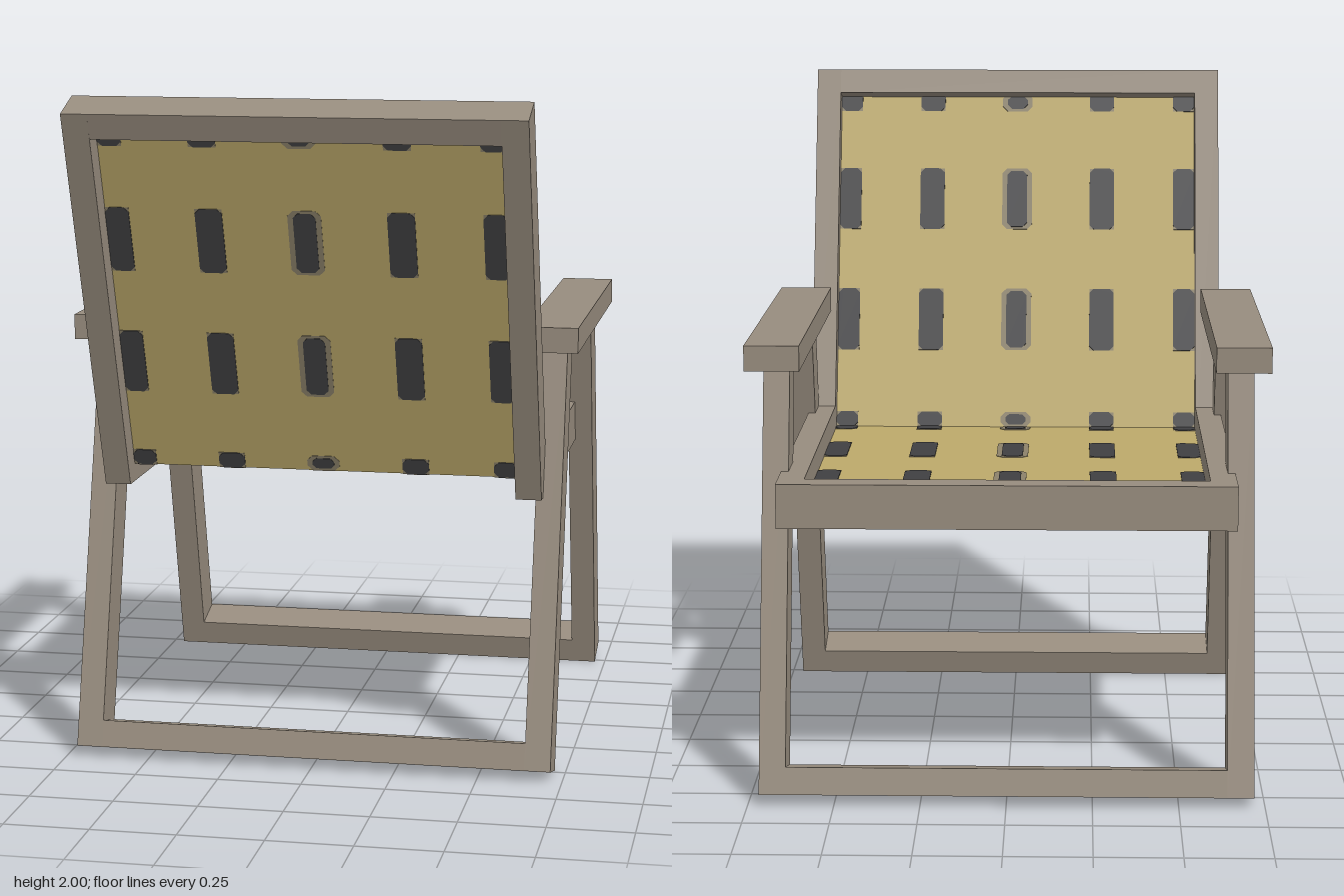
import * as THREE from 'three';

const frameMat = new THREE.MeshStandardMaterial({ name: 'weathered wood', color: 0x978c7e });
const fabricMat = new THREE.MeshStandardMaterial({ name: 'straw fabric', color: 0xbca96a });
const dashMat = new THREE.MeshStandardMaterial({ name: 'charcoal dash', color: 0x404042 });
const haloMat = new THREE.MeshStandardMaterial({ name: 'dash border', color: 0x8c826a });

// Bar with a side profile of [z, y] points, running from x0 to x1
function bar(name, profile, x0, x1) {
  const shape = new THREE.Shape(profile.map(([z, y]) => new THREE.Vector2(-z, y)));
  const geo = new THREE.ExtrudeGeometry(shape, { depth: x1 - x0, bevelEnabled: false });
  geo.rotateY(Math.PI / 2).translate(x0, 0, 0);
  const mesh = new THREE.Mesh(geo, frameMat);
  mesh.name = name;
  return mesh;
}

function pair(parent, name, profile, x0, x1) {
  parent.add(bar(name + 'Left', profile, x0, x1), bar(name + 'Right', profile, -x1, -x0));
}

const rect = (z0, z1, y0, y1) => [[z0, y0], [z1, y0], [z1, y1], [z0, y1]];

// Thin plate with cut corners, visible on both sides of the fabric
function plate(name, x0, x1, y0, y1, cut, depth, material) {
  const c = Math.min(cut, (y1 - y0) / 3);
  const shape = new THREE.Shape([
    [x0 + c, y0], [x1 - c, y0], [x1, y0 + c], [x1, y1 - c],
    [x1 - c, y1], [x0 + c, y1], [x0, y1 - c], [x0, y0 + c],
  ].map(([x, y]) => new THREE.Vector2(x, y)));
  const geo = new THREE.ExtrudeGeometry(shape, { depth, bevelEnabled: false });
  geo.translate(0, 0, -depth / 2);
  const mesh = new THREE.Mesh(geo, material);
  mesh.name = name;
  return mesh;
}

// Fabric panel rising along local y from the crease between seat and back
function fabricPanel(name, length) {
  const panel = new THREE.Group();
  panel.name = name;
  const cloth = new THREE.Mesh(new THREE.BoxGeometry(1.18, length, 0.002), fabricMat);
  cloth.position.y = length / 2;
  cloth.name = name + 'Cloth';
  panel.add(cloth);
  const rows = [[0, 0.05], [0.255, 0.46], [0.66, 0.865], [1.06, length]];
  const columns = [[-0.585, -0.515], [-0.32, -0.24], [-0.033, 0.033], [0.24, 0.32], [0.515, 0.585]];
  for (const [y0, y1] of rows) {
    columns.forEach(([x0, x1], i) => {
      const grow = i === 2 ? 0.016 : 0;
      panel.add(
        plate('dashBorder', x0 - grow, x1 + grow, y0, y1, grow, 0.005, haloMat),
        plate('dash', x0, x1, y0 + grow / 2, y1 - grow / 2, 0.014, 0.008, dashMat),
      );
    });
  }
  return panel;
}

// Tilted U-shaped leg frame: sign +1 leans to +z, -1 to -z
function legFrame(name, inner, outer, sign) {
  const group = new THREE.Group();
  group.name = name;
  const t = Math.tan(Math.PI / 12), top = 1.245;
  const a = [sign * inner, 0], b = [sign * outer, 0.034];
  const leg = [a, b, [sign * (outer - t * (top - 0.034)), top], [sign * (inner - t * top), top]];
  pair(group, name + 'Post', leg, 0.64, 0.717);
  const up = ([z, y]) => [z - sign * 0.0207, y + 0.0773];
  group.add(bar(name + 'FootBar', [a, b, up(b), up(a)], -0.64, 0.64));
  return group;
}

export function createModel() {
  const chair = new THREE.Group();
  chair.name = 'armchair';

  // Legs and armrests
  chair.add(legFrame('frontLeg', 0.73, 0.855, -1), legFrame('rearLeg', 0.485, 0.61, 1));
  pair(chair, 'armrest', rect(-0.66, 0.41, 1.245, 1.32), 0.6, 0.76);

  // Seat frame
  pair(chair, 'seatRail', [[-0.783, 0.81], [0.302, 0.81], [0.349, 0.94], [-0.783, 0.94]], 0.585, 0.662);
  chair.add(bar('seatFrontRail', rect(-0.783, -0.708, 0.81, 0.94), -0.585, 0.585));

  // Backrest frame
  pair(chair, 'backPost', [[0.302, 0.81], [0.44, 0.81], [0.857, 1.957], [0.735, 2]], 0.585, 0.662);
  chair.add(bar('backTopRail', [[0.735, 2], [0.857, 1.957], [0.83, 1.884], [0.708, 1.927]], -0.585, 0.585));

  // Fabric
  const seat = fabricPanel('seatFabric', 1.1);
  seat.rotation.x = -Math.PI / 2;
  const back = fabricPanel('backFabric', 1.12);
  back.rotation.x = Math.PI / 9;
  for (const panel of [seat, back]) {
    panel.position.set(0, 0.865, 0.385);
    chair.add(panel);
  }
  return chair;
}
